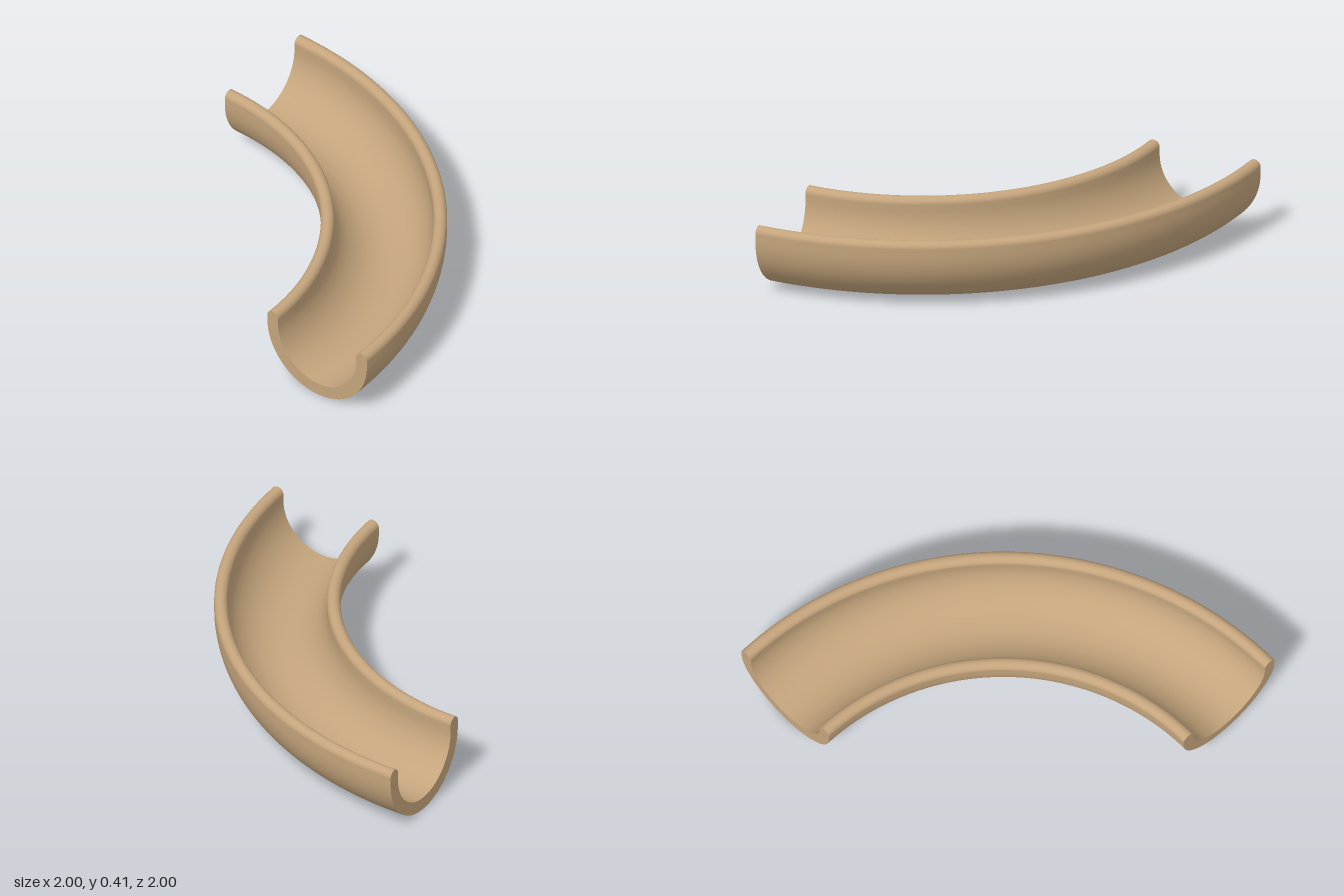
import * as THREE from 'three';

const CENTRE = 1.665;  // radius of the bend's centre line
const OUTER = 0.335;   // outer radius of the channel
const INNER = 0.263;   // inner radius of the channel
const HEIGHT = 0.41;
const LIP = (OUTER - INNER) / 2;

// Closed U-shaped section with rounded lips, starting on the straight outer wall
function sectionPoints() {
  const mid = (OUTER + INNER) / 2;
  const lipY = HEIGHT - LIP;
  const s = new THREE.Shape();
  s.moveTo(CENTRE + OUTER, OUTER + 0.02);
  s.absarc(CENTRE + mid, lipY, LIP, 0, Math.PI, false);
  s.absarc(CENTRE, OUTER, INNER, 0, -Math.PI, true);
  s.absarc(CENTRE - mid, lipY, LIP, 0, Math.PI, false);
  s.absarc(CENTRE, OUTER, OUTER, Math.PI, 2 * Math.PI, false);
  s.closePath();
  // drop coincident points so the normals stay clean
  return s.getPoints(20).filter((p, i, a) => i === 0 || p.distanceTo(a[i - 1]) > 1e-5);
}

export function createModel() {
  const group = new THREE.Group();
  group.name = 'curvedGutter';
  const tan = new THREE.MeshStandardMaterial({ color: 0xc4a47c });
  tan.name = 'tan';

  const add = (name, geometry) => {
    const mesh = new THREE.Mesh(geometry, tan);
    mesh.name = name;
    mesh.position.set(-1, 0, -1);
    group.add(mesh);
    return mesh;
  };

  // Quarter-turn channel swept about the corner of the model
  const points = sectionPoints();
  if (points[0].distanceTo(points[points.length - 1]) > 1e-5) points.push(points[0].clone());
  add('channel', new THREE.LatheGeometry(points, 72, 0, Math.PI / 2));

  // Flat faces closing the cut ends of the wall
  const ring = points.slice(0, -1);
  const sideEnd = add('sideEnd', new THREE.ShapeGeometry(new THREE.Shape(ring)));
  sideEnd.rotation.y = -Math.PI / 2;
  const mirrored = ring.map((p) => new THREE.Vector2(-p.x, p.y));
  const backEnd = add('backEnd', new THREE.ShapeGeometry(new THREE.Shape(mirrored)));
  backEnd.rotation.y = Math.PI;

  return group;
}
